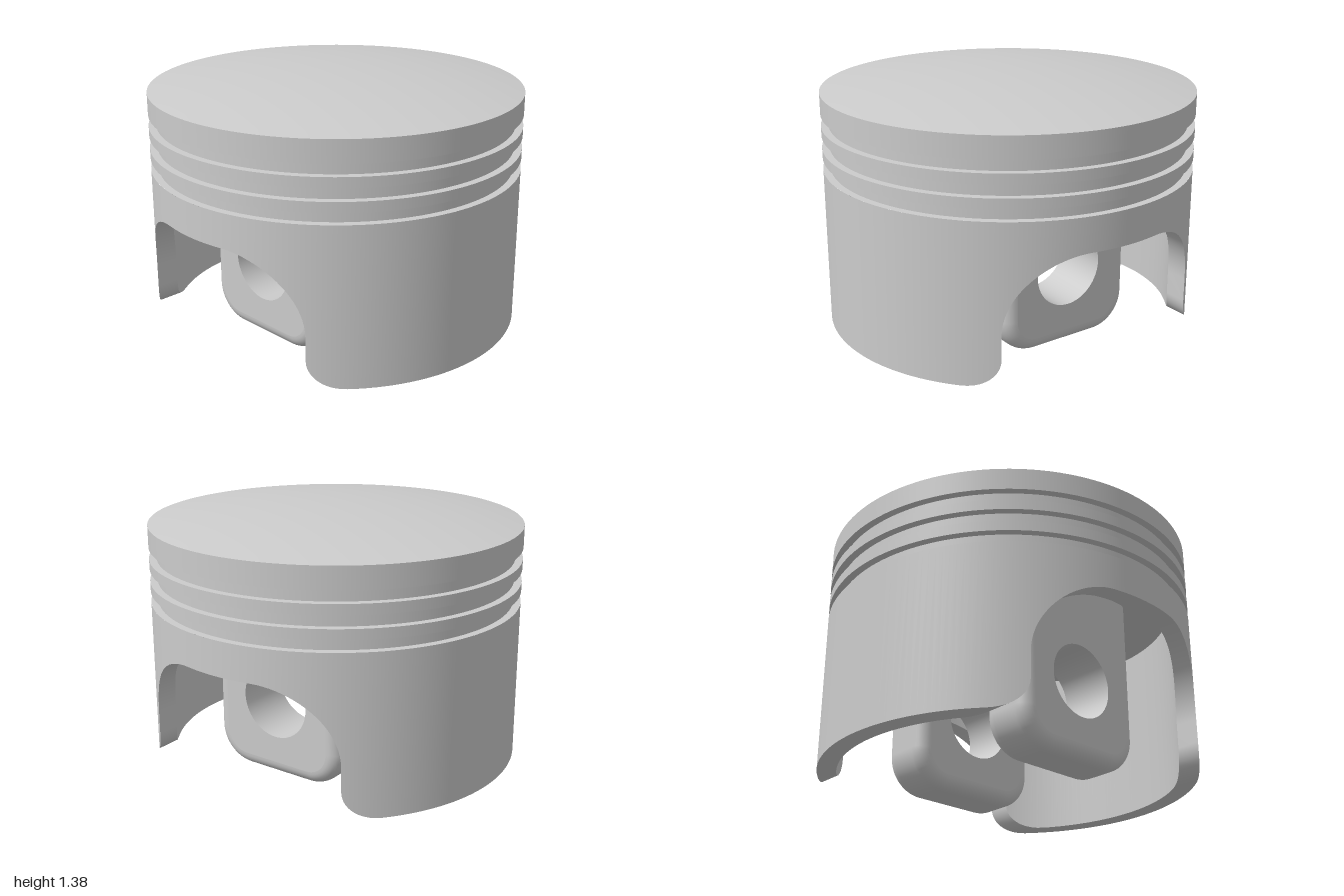
import * as THREE from 'three';

const material = new THREE.MeshStandardMaterial({ color: 0xcccccc });
const V = (x, y, z) => new THREE.Vector3(x, y, z);

function add(parent, name, geometry) {
  const mesh = new THREE.Mesh(geometry, material);
  mesh.name = name;
  parent.add(mesh);
  return mesh;
}

// Smooth surface through equal-length rows of points; faces point along (row direction x next row)
function loft(rows, closed) {
  const n = rows[0].length, index = [];
  for (let j = 0; j < rows.length - 1; j++) {
    for (let i = 0; i < (closed ? n : n - 1); i++) {
      const k = (i + 1) % n;
      const a = j * n + i, b = j * n + k, c = (j + 1) * n + k, d = (j + 1) * n + i;
      index.push(a, b, c, a, c, d);
    }
  }
  const geometry = new THREE.BufferGeometry().setFromPoints(rows.flat());
  geometry.setIndex(index);
  geometry.computeVertexNormals();
  return geometry;
}

const OUTER = 1, INNER = 0.9, SKIRT_TOP = 0.885, UNDERSIDE = 0.98, SKIRT_BOTTOM = 0.025;

// Crown with ring grooves: every straight run is its own lathe so edges stay sharp
function makeCrown() {
  const crown = new THREE.Group();
  crown.name = 'crown';
  const turn = (name, ...pts) =>
    add(crown, name, new THREE.LatheGeometry(pts.map(([r, y]) => new THREE.Vector2(r, y)), 128));
  const grooveRadius = 0.96;
  let y = SKIRT_TOP;
  for (const [low, high, landTop] of [[0.885, 0.945, 1.0], [1.0, 1.065, 1.12], [1.12, 1.182, 1.3]]) {
    y = low;
    turn('grooveFloor', [OUTER, y], [grooveRadius, y]);
    turn('grooveWall', [grooveRadius, y], [grooveRadius, high]);
    turn('grooveRoof', [grooveRadius, high], [OUTER, high]);
    turn('ringLand', [OUTER, high], [OUTER, landTop]);
  }
  // Shallow spherical dome
  const rise = 0.085, R = (1 + rise * rise) / (2 * rise), dome = [];
  for (let i = 0; i <= 20; i++) {
    const r = 1 - i / 20;
    dome.push([r, 1.3 + rise - R + Math.sqrt(R * R - r * r)]);
  }
  turn('dome', ...dome);
  turn('crownUnderside', [0, UNDERSIDE], [INNER, UNDERSIDE]);
  return crown;
}

// Skirt wall whose lower edge follows an arch across x, with rounded corners
function makeSkirt() {
  const skirt = new THREE.Group();
  skirt.name = 'skirt';

  // Lower edge over one quarter: angle on outer wall, angle on inner wall, height
  const quarter = [];
  const edge = (z, y) => quarter.push([Math.asin(z / OUTER), Math.asin(z / INNER), y]);
  for (let i = 0; i < 6; i++) edge(0.2 * i / 6, 0.7);
  for (let i = 0; i <= 20; i++) {
    const a = Math.PI / 2 * i / 20;
    edge(0.2 + 0.4 * Math.sin(a), 0.3 + 0.4 * Math.cos(a));
  }
  for (let i = 0; i <= 10; i++) {
    const a = Math.PI / 2 * i / 10;
    edge(0.75 - 0.15 * Math.cos(a), SKIRT_BOTTOM + 0.15 - 0.15 * Math.sin(a));
  }
  const [ao, ai] = quarter[quarter.length - 1];
  for (let i = 1; i <= 20; i++) {
    const t = i / 20;
    quarter.push([ao + (Math.PI / 2 - ao) * t, ai + (Math.PI / 2 - ai) * t, SKIRT_BOTTOM]);
  }

  // Mirror the quarter around the full circle
  const back = quarter.slice(1, -1).reverse();
  const loop = [
    ...quarter,
    ...back.map(([o, i, y]) => [Math.PI - o, Math.PI - i, y]),
    ...quarter.map(([o, i, y]) => [Math.PI + o, Math.PI + i, y]),
    ...back.map(([o, i, y]) => [-o, -i, y]),
  ];
  const on = (r, a, y) => V(r * Math.cos(a), y, r * Math.sin(a));
  const outerLow = loop.map(([o, , y]) => on(OUTER, o, y));
  const outerTop = loop.map(([o]) => on(OUTER, o, SKIRT_TOP));
  const innerLow = loop.map(([, i, y]) => on(INNER, i, y));
  const innerTop = loop.map(([, i]) => on(INNER, i, UNDERSIDE));
  add(skirt, 'skirtOuterWall', loft([outerTop, outerLow], true));
  add(skirt, 'skirtInnerWall', loft([innerLow, innerTop], true));
  add(skirt, 'skirtLowerEdge', loft([outerLow, innerLow], true));
  return skirt;
}

// Wrist pin boss: rounded block hanging from the crown, bored through
function makePinBoss() {
  const boss = new THREE.Group();
  const half = 0.15, fillet = 0.075, holeY = 0.42, holeR = 0.2;

  // U-shaped outline shrunk by an inset
  const outline = (inset) => {
    const w = 0.4 - inset, r = 0.2 - inset, pts = [[-w, UNDERSIDE]];
    for (const [cx, start] of [[-0.2, Math.PI], [0.2, Math.PI * 1.5]]) {
      for (let i = 0; i <= 12; i++) {
        const a = start + Math.PI / 2 * i / 12;
        pts.push([cx + r * Math.cos(a), 0.2 + r * Math.sin(a)]);
      }
    }
    pts.push([w, UNDERSIDE]);
    return pts;
  };

  const rows = [];
  for (const side of [-1, 1]) {
    for (let i = 0; i <= 8; i++) {
      const a = Math.PI / 2 * (side < 0 ? i : 8 - i) / 8;
      const z = side * (half - fillet + fillet * Math.cos(a));
      rows.push(outline(fillet * (1 - Math.sin(a))).map(([x, y]) => V(x, y, z)));
    }
  }
  add(boss, 'bossSides', loft(rows, false));

  const face = new THREE.Shape(outline(fillet).map(([x, y]) => new THREE.Vector2(x, y)));
  face.holes.push(new THREE.Path().absarc(0, holeY, holeR, 0, Math.PI * 2, true));
  const cap = new THREE.ShapeGeometry(face, 32).translate(0, 0, half);
  add(boss, 'bossFace', cap);
  add(boss, 'bossFace', cap).rotation.y = Math.PI;

  const ring = (z) => Array.from({ length: 64 }, (_, i) => {
    const a = Math.PI * 2 * i / 64;
    return V(holeR * Math.cos(a), holeY + holeR * Math.sin(a), z);
  });
  add(boss, 'pinBore', loft([ring(half), ring(-half)], true));
  return boss;
}

export function createModel() {
  const model = new THREE.Group();
  model.name = 'piston';
  model.add(makeCrown(), makeSkirt());
  for (const side of [1, -1]) {
    const boss = makePinBoss();
    boss.name = side > 0 ? 'leftPinBoss' : 'rightPinBoss';
    boss.rotation.y = side * Math.PI / 2;
    boss.position.x = side * 0.4;
    model.add(boss);
  }
  return model;
}
